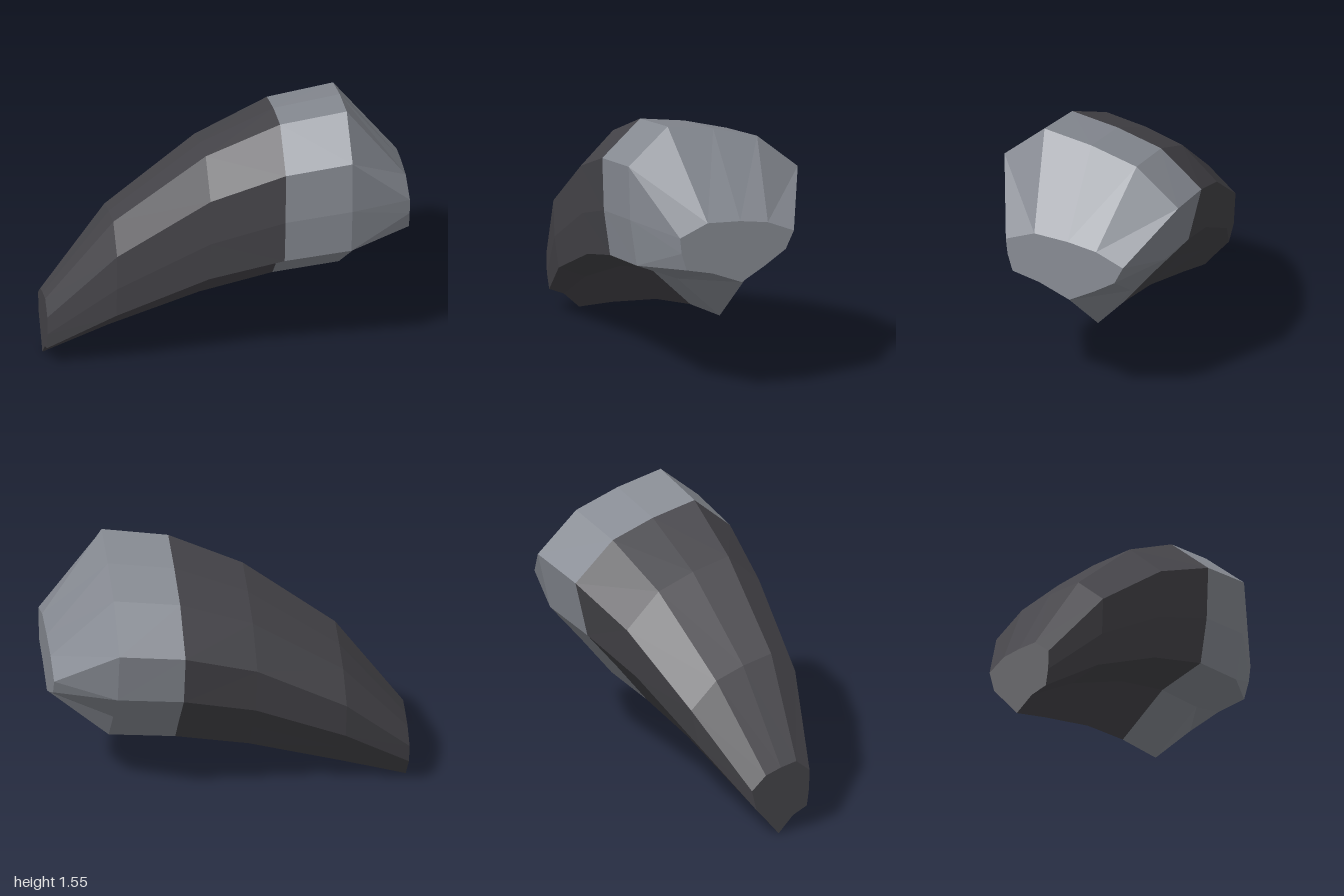
import * as THREE from 'three';

// Cross-section as [z, y], height measured from the keel, clockwise seen from +x
const PROFILE = [
  [0.28, 1.14], [0, 1.09], [-0.27, 1.01], [-0.52, 0.80], [-0.44, 0.47], [-0.24, 0.24],
  [-0.04, 0], [0.22, 0.25], [0.47, 0.36], [0.51, 0.63], [0.52, 0.94],
];

// Smaller, flatter outline of the blunt end, as [z, y]
const END = [
  [0.20, 1.085], [0, 1.07], [-0.17, 1.04], [-0.33, 0.97], [-0.28, 0.87], [-0.15, 0.79],
  [-0.01, 0.715], [0.17, 0.79], [0.33, 0.83], [0.36, 0.93], [0.37, 1.02],
];

// A scaled copy of the profile at station x
function section(x, keelY, height, width, z) {
  return PROFILE.map(([pz, py]) => new THREE.Vector3(x, keelY + py * height, z + pz * width));
}

// Skin between neighbouring rings, each quad split along its shorter diagonal
function loft(rings) {
  const tris = [];
  for (let r = 0; r < rings.length - 1; r++) {
    const a = rings[r], b = rings[r + 1];
    a.forEach((ai, i) => {
      const j = (i + 1) % a.length;
      const aj = a[j], bi = b[i], bj = b[j];
      if (ai.distanceTo(bj) < aj.distanceTo(bi)) tris.push(ai, bi, bj, ai, bj, aj);
      else tris.push(ai, bi, aj, bi, bj, aj);
    });
  }
  return new THREE.BufferGeometry().setFromPoints(tris);
}

// Flat fan closing a ring
function cap(ring, facesPlusX) {
  const centre = ring.reduce((s, p) => s.add(p), new THREE.Vector3()).divideScalar(ring.length);
  const tris = [];
  ring.forEach((p, i) => {
    const q = ring[(i + 1) % ring.length];
    if (facesPlusX) tris.push(centre, q, p);
    else tris.push(centre, p, q);
  });
  return new THREE.BufferGeometry().setFromPoints(tris);
}

export function createModel() {
  const group = new THREE.Group();
  group.name = 'curvedHorn';

  const dark = new THREE.MeshStandardMaterial({ color: 0x47464b, flatShading: true });
  dark.name = 'charcoal';
  const light = new THREE.MeshStandardMaterial({ color: 0x888c94, flatShading: true });
  light.name = 'steel grey';

  const add = (name, geometry, material) => {
    geometry.computeVertexNormals();
    const mesh = new THREE.Mesh(geometry, material);
    mesh.name = name;
    group.add(mesh);
  };

  // Stations from the narrow tip to the wide end
  const tip = section(-1, 0.005, 0.355, 0.36, 0.027);
  const lower = section(-0.63, 0.135, 0.68, 0.65, 0.013);
  const middle = section(-0.12, 0.295, 0.89, 0.825, 0.003);
  const seam = section(0.29, 0.38, 0.982, 0.967, -0.002);
  const rim = section(0.66, 0.42, 1, 1, 0);
  const end = END.map(([z, y]) => new THREE.Vector3(1, y, z));

  add('shaft', loft([tip, lower, middle, seam]), dark);
  add('tipCap', cap(tip, false), dark);
  add('collar', loft([seam, rim]), light);
  add('taperedEnd', loft([rim, end]), light);
  add('endCap', cap(end, true), light);
  return group;
}
